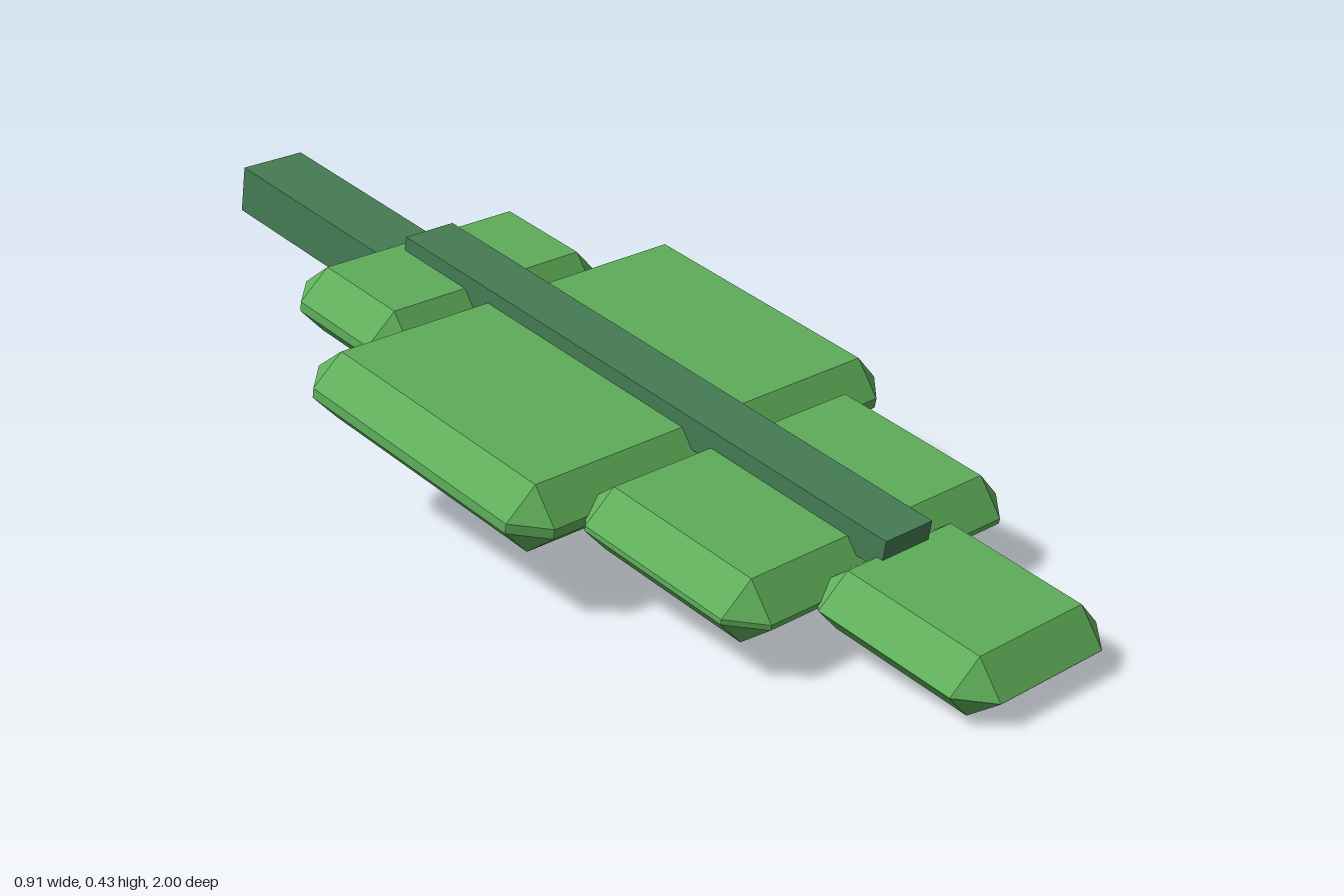
import * as THREE from 'three';
import { ConvexGeometry } from 'three/addons/geometries/ConvexGeometry.js';

const BEVEL = 0.057;

// Box with every edge and corner chamfered flat
function chamferedBox(w, h, d, b) {
  const points = [];
  for (const sx of [-1, 1]) for (const sy of [-1, 1]) for (const sz of [-1, 1]) {
    const x = w / 2, y = h / 2, z = d / 2;
    points.push(
      new THREE.Vector3(sx * x, sy * (y - b), sz * (z - b)),
      new THREE.Vector3(sx * (x - b), sy * y, sz * (z - b)),
      new THREE.Vector3(sx * (x - b), sy * (y - b), sz * z)
    );
  }
  return new ConvexGeometry(points);
}

export function createModel() {
  const group = new THREE.Group();
  group.name = 'leaf';

  const leafGreen = new THREE.MeshStandardMaterial({ color: 0x60b05b });
  leafGreen.name = 'leafGreen';
  const stemGreen = new THREE.MeshStandardMaterial({ color: 0x467d55 });
  stemGreen.name = 'stemGreen';

  // The whole leaf tilts down toward its tip
  const blade = new THREE.Group();
  blade.name = 'tiltedLeaf';
  blade.rotation.x = THREE.MathUtils.degToRad(10);
  group.add(blade);

  const add = (name, geometry, material, y, z) => {
    const mesh = new THREE.Mesh(geometry, material);
    mesh.name = name;
    mesh.position.set(0, y, z);
    blade.add(mesh);
  };

  // Leaf lobes: name, width, thickness, back z, front z
  const lobes = [
    ['tipLobe', 0.37, 0.1145, 0.581, 0.976],
    ['frontLobe', 0.684, 0.124, 0.194, 0.628],
    ['mainLobe', 0.91, 0.133, -0.388, 0.237],
    ['backLobe', 0.564, 0.133, -0.646, -0.338],
  ];
  for (const [name, w, h, z0, z1] of lobes) {
    add(name, chamferedBox(w, h, z1 - z0, BEVEL), leafGreen, 0.223, (z0 + z1) / 2);
  }

  // Raised rib along the top
  add('midrib', new THREE.BoxGeometry(0.114, 0.057, 1.218), stemGreen, 0.2885, 0.041);

  // Stem sunk into the back lobe
  add('stem', new THREE.BoxGeometry(0.14, 0.094, 0.5), stemGreen, 0.21, -0.796);

  return group;
}
